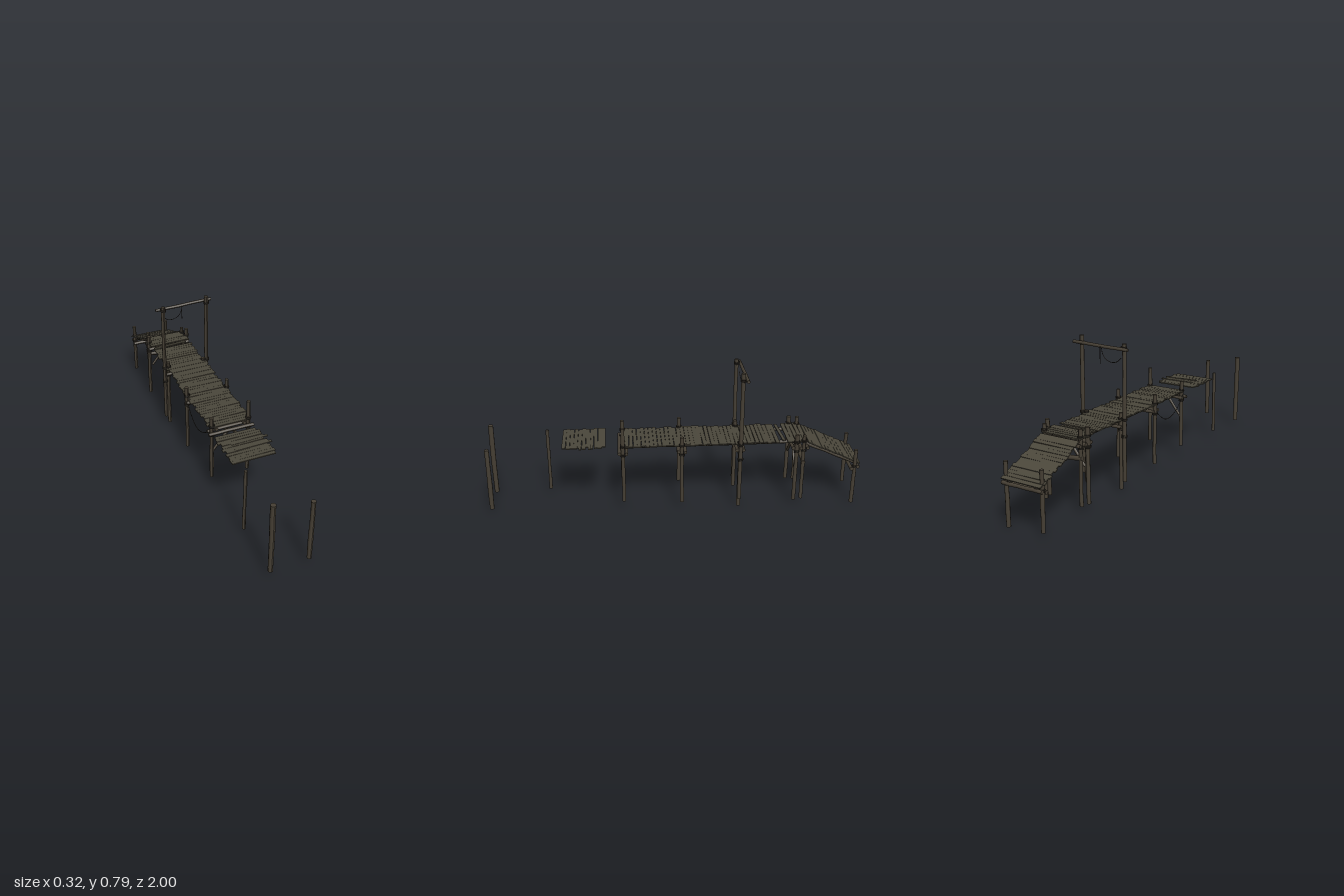
import * as THREE from 'three';

export function createModel() {
  const root = new THREE.Group();
  root.name = 'brokenPier';
  const mat = (name, color) => {
    const m = new THREE.MeshStandardMaterial({ color });
    m.name = name;
    return m;
  };
  const plankWood = mat('plankWood', 0x4b473b);
  const postWood = mat('postWood', 0x463f34);
  const ropeFibre = mat('ropeFibre', 0x2b2721);

  let seed = 7;
  const rnd = () => (seed = (seed * 16807) % 2147483647) / 2147483647;
  const jit = (a) => (rnd() * 2 - 1) * a;
  const V = (p) => new THREE.Vector3(...p);
  const UP = new THREE.Vector3(0, 1, 0);

  const add = (name, geo, material) => {
    const m = new THREE.Mesh(geo, material);
    m.name = name;
    root.add(m);
    return m;
  };

  // Rough log between two points: a cylinder whose rings wander slightly
  function log(name, a, b, r) {
    const d = V(b).sub(V(a)), len = d.length(), rings = 5;
    const geo = new THREE.CylinderGeometry(r, r, len, 9, rings);
    const off = Array.from({ length: rings + 1 }, () => [jit(r * 0.12), jit(r * 0.12), 1 + jit(0.08)]);
    const p = geo.attributes.position;
    for (let i = 0; i < p.count; i++) {
      const o = off[Math.round((p.getY(i) / len + 0.5) * rings)];
      p.setX(i, p.getX(i) * o[2] + o[0]);
      p.setZ(i, p.getZ(i) * o[2] + o[1]);
    }
    geo.computeVertexNormals();
    const m = add(name, geo, postWood);
    m.position.copy(V(a).add(V(b)).multiplyScalar(0.5));
    m.quaternion.setFromUnitVectors(UP, d.normalize());
    return m;
  }
  const post = (x, z, y0, y1, r) => log('post', [x, y0, z], [x + jit(0.002), y1, z], r);

  // Rope wound around a post
  function lashing(x, y, z, r) {
    for (let i = 0; i < 3; i++) {
      const m = add('lashing', new THREE.TorusGeometry(r, 0.0022, 5, 14), ropeFibre);
      m.position.set(x, y + (i - 1) * 0.005, z);
      m.rotation.set(Math.PI / 2 + jit(0.15), jit(0.15), 0);
    }
  }
  const rope = (name, pts) => add(name,
    new THREE.TubeGeometry(new THREE.CatmullRomCurve3(pts.map(V)), 28, 0.0018, 5), ropeFibre);

  // Row of uneven planks running from one edge (z, y) to another
  function planks(name, z0, y0, z1, y1, xMin, xMax, skip = () => false) {
    const dz = z1 - z0, dy = y1 - y0, len = Math.hypot(dz, dy);
    const n = Math.round(len / 0.0215), step = len / n;
    for (let i = 0; i < n; i++) {
      const t = (i + 0.5) / n, z = z0 + dz * t;
      const a = xMin + jit(0.008), b = xMax + jit(0.008);
      const w = step * (0.9 + rnd() * 0.09), tilt = jit(0.012);
      if (skip(z)) continue;
      const m = add(name, new THREE.BoxGeometry(b - a, 0.006, w), plankWood);
      m.position.set((a + b) / 2, y0 + dy * t + jit(0.001), z);
      m.rotation.set(Math.atan2(dy, -dz), tilt, jit(0.008));
    }
  }

  // Lone posts beyond the broken end
  post(-0.103, 0.986, 0.03, 0.435, 0.0135);
  post(0.1, 0.986, 0.04, 0.39, 0.0125);
  post(-0.1, 0.685, 0.04, 0.4, 0.009);

  // Drifting section of deck
  planks('driftPlank', 0.6, 0.384, 0.37, 0.384, -0.125, 0.105);
  for (const z of [0.505, 0.455]) {
    const m = add('driftPlank', new THREE.BoxGeometry(0.2, 0.005, 0.014), plankWood);
    m.position.set(0.026, 0.387, z);
    m.rotation.y = 0.02;
  }

  // Main deck with a gap and one crooked plank
  planks('deckPlank', 0.29, 0.384, -0.7, 0.384, -0.117, 0.111, (z) => z < -0.54 && z > -0.585);
  const crooked = add('crookedPlank', new THREE.BoxGeometry(0.2, 0.006, 0.016), plankWood);
  crooked.position.set(-0.01, 0.384, -0.57);
  crooked.rotation.y = 0.07;

  // Ramp at the back
  planks('rampPlank', -0.705, 0.376, -0.994, 0.243, -0.118, 0.108);
  for (const x of [-0.08, 0.075]) {
    log('deckStringer', [x, 0.371, 0.295], [x, 0.371, -0.7], 0.0095);
    log('rampStringer', [x, 0.364, -0.685], [x, 0.229, -0.985], 0.0095);
  }

  // Supports: z, half width, bottom, left top, right top, radius
  const bents = [
    [0.28, 0.102, 0.06, 0.49, 0.44, 0.0105],
    [-0.03, 0.115, 0.05, 0.435, 0.44, 0.0105],
    [-0.34, 0.106, 0.01, 0.4, 0.42, 0.0105],
    [-0.64, 0.118, 0.04, 0.43, 0.43, 0.011],
    [-0.682, 0.106, 0.04, 0.42, 0.43, 0.01],
  ];
  for (const [z, hw, y0, topL, topR, r] of bents) {
    post(hw, z, y0, topL, r);
    post(-hw, z, y0 + 0.005, topR, r);
    log('crossBeam', [-0.125, 0.351, z + 0.018], [0.125, 0.353, z + 0.018], 0.0095);
    log('crossBeam', [-0.12, 0.35, z - 0.018], [0.122, 0.349, z - 0.018], 0.009);
    for (const x of [-hw, hw]) {
      lashing(x, 0.389, z, r + 0.003);
      lashing(x, 0.335, z, r + 0.003);
    }
  }

  // Diagonal braces
  for (const z of [0.282, -0.64]) {
    for (const s of [-1, 1]) log('brace', [s * 0.1, 0.232, z], [s * 0.006, 0.348, z], 0.0075);
  }
  log('lowTie', [-0.115, 0.287, -0.682], [0.115, 0.262, -0.682], 0.011);

  // Tall gate posts and top beam
  post(-0.127, -0.34, 0.06, 0.77, 0.0105);
  post(0.124, -0.34, 0.06, 0.787, 0.011);
  log('gateBeam', [-0.162, 0.745, -0.362], [0.16, 0.754, -0.362], 0.0085);
  for (const s of [-1, 1]) {
    lashing(s * 0.126, 0.75, -0.342, 0.0145);
    lashing(s * 0.126, 0.39, -0.34, 0.0135);
    lashing(s * 0.126, 0.3, -0.34, 0.0135);
  }

  // Foot of the ramp
  for (const s of [-1, 1]) {
    post(s * 0.102, -0.968, s > 0 ? 0 : 0.02, 0.322, 0.0105);
    lashing(s * 0.102, 0.222, -0.968, 0.0135);
  }
  log('rampCrossBeam', [-0.115, 0.212, -0.95], [0.115, 0.212, -0.95], 0.0105);
  log('rampCrossBeam', [-0.115, 0.222, -0.984], [0.115, 0.222, -0.984], 0.0095);

  // Hanging ropes
  rope('gateRope', [[-0.12, 0.703, -0.355], [-0.1, 0.682, -0.358], [-0.068, 0.674, -0.36],
    [-0.035, 0.685, -0.361], [-0.015, 0.712, -0.362], [-0.008, 0.745, -0.362]]);
  rope('ropeEnd', [[-0.008, 0.748, -0.372], [-0.007, 0.7, -0.372], [-0.007, 0.66, -0.371]]);
  rope('sideRope', [[-0.112, 0.36, 0.275], [-0.115, 0.308, 0.215], [-0.116, 0.274, 0.14],
    [-0.116, 0.274, 0.085], [-0.116, 0.31, 0.02], [-0.116, 0.355, -0.025]]);

  return root;
}
